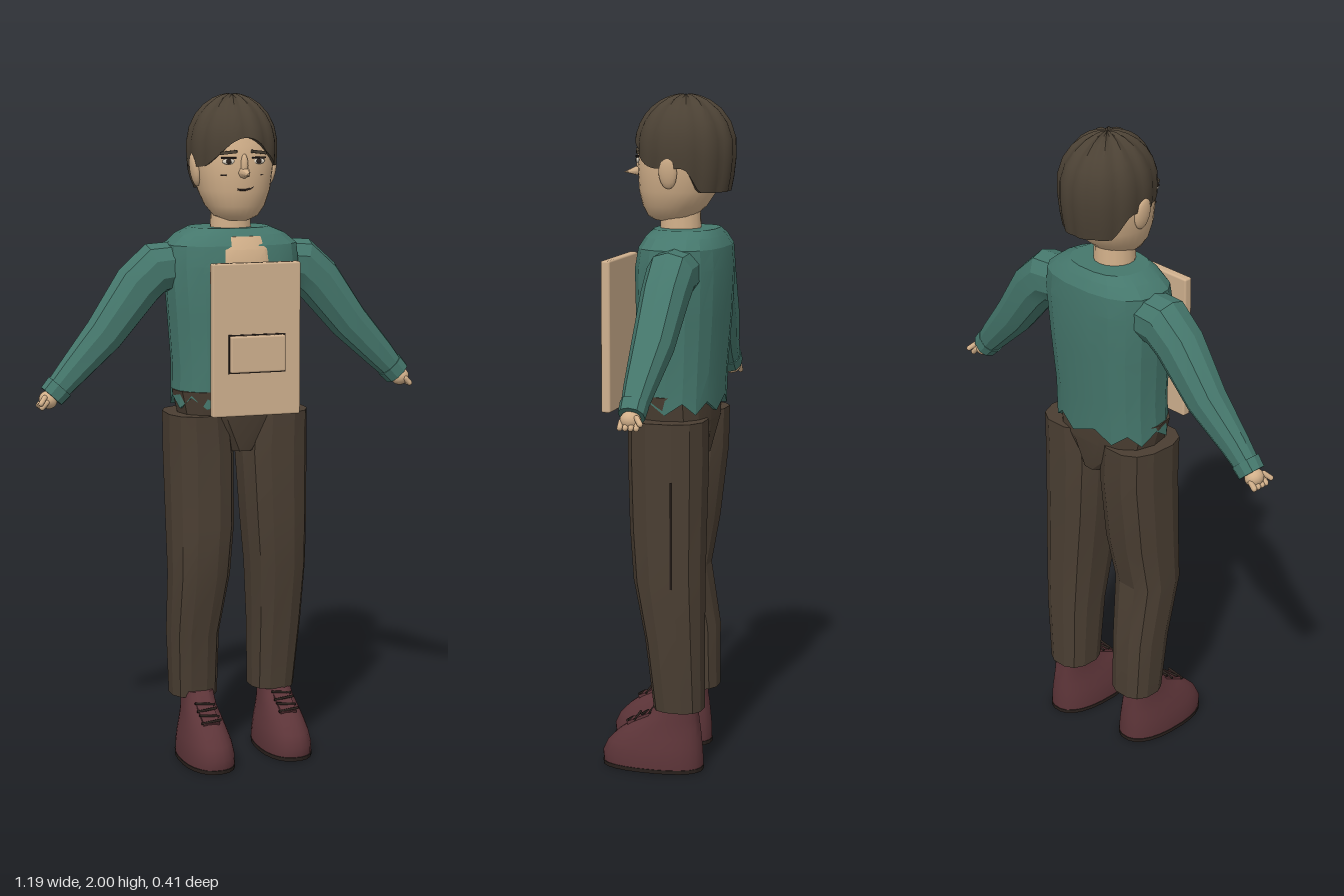
import * as THREE from 'three';
import { toCreasedNormals } from 'three/addons/utils/BufferGeometryUtils.js';
import { RoundedBoxGeometry } from 'three/addons/geometries/RoundedBoxGeometry.js';

const mat = (name, color, side = THREE.FrontSide) =>
  Object.assign(new THREE.MeshStandardMaterial({ color, side }), { name });
const V = (x, y, z) => new THREE.Vector3(x, y, z);

// Skins a stack of closed rings and caps both ends
function loft(rings, crease = 0.3) {
  const n = rings[0].length, pos = [], idx = [], last = rings.length - 1;
  rings.forEach(r => r.forEach(p => pos.push(p.x, p.y, p.z)));
  const centre = r => {
    const c = V(0, 0, 0);
    r.forEach(p => c.add(p));
    c.divideScalar(n);
    pos.push(c.x, c.y, c.z);
    return pos.length / 3 - 1;
  };
  const c0 = centre(rings[0]), c1 = centre(rings[last]);
  for (let j = 0; j < n; j++) {
    const k = (j + 1) % n;
    for (let i = 0; i < last; i++) {
      const a = i * n + j, b = i * n + k;
      idx.push(a, b, b + n, a, b + n, a + n);
    }
    idx.push(c0, k, j, c1, last * n + j, last * n + k);
  }
  const g = new THREE.BufferGeometry();
  g.setAttribute('position', new THREE.Float32BufferAttribute(pos, 3));
  g.setIndex(idx);
  return toCreasedNormals(g, crease);
}

// Section rows are [x, y, z, radius across, radius in z]; power below 1 squares the ring
function body(sections, { n = 14, power = 0.8, follow = false, jag = 0, crease = 0.3 } = {}) {
  const u = V(0, 0, 1);
  const rings = sections.map(([x, y, z, rx, rz], i) => {
    const a = sections[Math.max(i - 1, 0)], b = sections[Math.min(i + 1, sections.length - 1)];
    const t = follow ? V(b[0] - a[0], b[1] - a[1], 0).normalize() : V(0, 1, 0);
    const v = t.clone().cross(u);
    return Array.from({ length: n }, (_, j) => {
      const q = (j + 0.5) / n * Math.PI * 2, c = Math.cos(q), s = Math.sin(q);
      const pw = w => Math.sign(w) * Math.pow(Math.abs(w), power);
      const p = V(x, y, z).addScaledVector(u, pw(c) * rz).addScaledVector(v, pw(s) * rx);
      if (i === 0) p.y += (j % 2 - 0.5) * jag;
      return p;
    });
  });
  return loft(rings, crease);
}

// Bowl of combed locks: the lower edge rises at the fringe and falls at the nape
function hairGeometry() {
  const n = 72, rows = [0, 0, 0.15, 0.35, 0.55, 0.72, 0.85, 0.94, 0.985, 1];
  const S = THREE.MathUtils.smoothstep;
  const rings = rows.map((f, i) => Array.from({ length: n }, (_, j) => {
    const a = j / n * Math.PI * 2, m = Math.min(a, Math.PI * 2 - a);
    const edge = 1.875 - 0.085 * S(m, 0.05, 1.1) - 0.07 * S(m, 1.75, 2.2);
    const y = edge + (2.0 - edge) * f, h = (y - 1.85) / 0.151;
    let r = h > 0 ? Math.sqrt(Math.max(1 - h * h, 0)) : 1 - 0.14 * h * h;
    r *= 0.955 + 0.045 * Math.abs(Math.sin(a * 6));
    if (i === 0) r *= 0.8;
    return V(0.022 + 0.134 * r * Math.sin(a), y - 0.006 * f * Math.abs(Math.cos(a * 6)),
      -0.058 + 0.15 * r * Math.cos(a));
  }));
  return loft(rings, 0.6);
}

export function createModel() {
  const root = new THREE.Group();
  root.name = 'standingMan';
  const skin = mat('skin', 0xd2b08a), shirt = mat('shirt green', 0x45776c);
  const trousers = mat('trouser brown', 0x4a3e32), hair = mat('hair brown', 0x4b4134);
  const shoe = mat('shoe maroon', 0x5c3438), dark = mat('dark lines', 0x2a211d);
  const board = mat('board tan', 0xcfb08e), white = mat('eye white', 0xe6dccb);

  const add = (name, geo, material, x = 0, y = 0, z = 0, parent = root) => {
    const m = new THREE.Mesh(geo, material);
    m.name = name;
    m.position.set(x, y, z);
    parent.add(m);
    return m;
  };
  const ball = (name, material, p, s, parent = root) => {
    const m = add(name, new THREE.SphereGeometry(1, 16, 10), material, ...p, parent);
    m.scale.set(...s);
    return m;
  };

  // Head, neck and hair
  add('head', body([
    [0.02, 1.632, -0.01, 0.035, 0.045], [0.02, 1.645, -0.015, 0.065, 0.07],
    [0.02, 1.675, -0.025, 0.088, 0.095], [0.02, 1.72, -0.035, 0.106, 0.115],
    [0.02, 1.79, -0.04, 0.117, 0.124], [0.02, 1.85, -0.045, 0.117, 0.122],
    [0.02, 1.92, -0.05, 0.09, 0.1]], { n: 28, power: 0.95, crease: 1.2 }), skin);
  add('neck', new THREE.CylinderGeometry(0.058, 0.062, 0.1, 16), skin, 0.012, 1.635, -0.04);
  add('hair', hairGeometry(), hair);
  for (const s of [-1, 1]) {
    const ear = ball('ear', skin, [0.02 + s * 0.118, 1.78, -0.038], [0.014, 0.05, 0.028]);
    ear.rotation.z = -s * 0.15;
  }

  // Face
  const face = new THREE.Group();
  face.name = 'face';
  root.add(face);
  const nose = add('nose', new THREE.ConeGeometry(0.02, 0.062, 8), skin, 0.016, 1.772, 0.105, face);
  nose.rotation.x = Math.PI / 2 + 0.12;
  ball('noseBridge', skin, [0.016, 1.795, 0.083], [0.011, 0.035, 0.012], face);
  for (const s of [-1, 1]) {
    const x = 0.016 + s * 0.046;
    ball('eyeWhite', white, [x, 1.808, 0.075], [0.019, 0.009, 0.005], face);
    ball('iris', dark, [x, 1.808, 0.079], [0.008, 0.008, 0.004], face);
    const lid = add('eyelid', new THREE.BoxGeometry(0.045, 0.005, 0.009), dark, x, 1.818, 0.078, face);
    const brow = add('eyebrow', new THREE.BoxGeometry(0.05, 0.009, 0.009), hair, x, 1.834, 0.077, face);
    lid.rotation.y = brow.rotation.y = s * 0.35;
    brow.rotation.z = -s * 0.12;
    const cheek = add('cheekLine', new THREE.BoxGeometry(0.016, 0.004, 0.006), dark, x + s * 0.012, 1.768, 0.066, face);
    cheek.rotation.y = s * 0.5;
  }
  const smile = new THREE.QuadraticBezierCurve3(V(-0.004, 1.727, 0.079), V(0.025, 1.72, 0.083), V(0.05, 1.736, 0.073));
  add('mouth', new THREE.TubeGeometry(smile, 10, 0.003, 6), dark, 0, 0, 0, face);

  // Shirt with a ragged hem and an open chest
  add('shirtBody', body([
    [0.015, 1.095, -0.047, 0.183, 0.12], [0.016, 1.2, -0.05, 0.181, 0.122],
    [0.017, 1.35, -0.054, 0.192, 0.13], [0.018, 1.5, -0.057, 0.204, 0.134],
    [0.018, 1.56, -0.06, 0.2, 0.126], [0.016, 1.59, -0.06, 0.165, 0.11],
    [0.012, 1.61, -0.06, 0.12, 0.093]], { n: 18, jag: 0.035 }), shirt);
  add('openChest', body([
    [0.025, 1.14, 0, 0.105, 0.078], [0.025, 1.3, 0, 0.108, 0.082], [0.025, 1.5, 0, 0.11, 0.084],
    [0.025, 1.55, 0, 0.105, 0.074], [0.025, 1.587, -0.005, 0.085, 0.06]], { n: 18 }), skin);

  // Arms with cuffs and curled hands, listed from the shoulder to the wrist
  const arms = {
    left: [[0.15, 1.5, -0.08, 0.07, 0.07], [0.245, 1.49, -0.08, 0.078, 0.071], [0.30, 1.44, -0.08, 0.074, 0.068],
      [0.40, 1.31, -0.075, 0.061, 0.06], [0.50, 1.205, -0.068, 0.047, 0.044], [0.555, 1.145, -0.065, 0.036, 0.034]],
    right: [[-0.12, 1.5, -0.065, 0.07, 0.07], [-0.215, 1.49, -0.063, 0.078, 0.072], [-0.27, 1.44, -0.06, 0.074, 0.068],
      [-0.375, 1.30, -0.055, 0.061, 0.056], [-0.475, 1.195, -0.044, 0.046, 0.04], [-0.535, 1.13, -0.04, 0.036, 0.033]],
  };
  for (const [side, rows] of Object.entries(arms)) {
    const s = side === 'left' ? 1 : -1, [wx, wy, wz] = rows.at(-1);
    add(side + 'Sleeve', body(rows, { n: 10, power: 0.9, follow: true }), shirt);
    add(side + 'Cuff', body([[wx - s * 0.022, wy + 0.024, wz, 0.044, 0.04], [wx + s * 0.004, wy - 0.004, wz, 0.041, 0.038]],
      { n: 10, power: 0.9, follow: true }), shirt);
    const hand = new THREE.Group();
    hand.name = side + 'Hand';
    hand.position.set(wx + s * 0.012, wy - 0.012, wz);
    hand.rotation.z = s * 0.75;
    root.add(hand);
    ball('palm', skin, [0, -0.003, 0], [0.028, 0.026, 0.03], hand);
    for (let i = 0; i < 4; i++)
      add('finger', new THREE.CapsuleGeometry(0.0085, 0.02, 4, 8), skin, s * 0.004, -0.022, -0.024 + i * 0.016, hand);
    const thumb = add('thumb', new THREE.CapsuleGeometry(0.008, 0.025, 4, 8), skin, s * 0.018, -0.016, -s * 0.03, hand);
    thumb.rotation.x = s * 0.6;
  }

  // Trousers, listed from the hem upwards
  add('trouserSeat', body([
    [0.03, 0.945, -0.045, 0.05, 0.09], [0.02, 1.05, -0.042, 0.172, 0.112],
    [0.015, 1.13, -0.038, 0.186, 0.115]]), trousers);
  add('rightTrouserLeg', body([
    [-0.103, 0.185, -0.06, 0.072, 0.07], [-0.107, 0.38, -0.048, 0.078, 0.08], [-0.098, 0.57, -0.01, 0.092, 0.09],
    [-0.09, 0.72, -0.025, 0.1, 0.104], [-0.09, 0.94, -0.04, 0.102, 0.115], [-0.097, 1.06, -0.04, 0.096, 0.116]],
    { n: 12 }), trousers);
  add('leftTrouserLeg', body([
    [0.153, 0.185, -0.08, 0.069, 0.075], [0.159, 0.4, -0.068, 0.081, 0.087], [0.156, 0.58, -0.05, 0.09, 0.105],
    [0.148, 0.74, -0.044, 0.098, 0.112], [0.14, 0.94, -0.042, 0.105, 0.117], [0.145, 1.06, -0.042, 0.1, 0.117]],
    { n: 12 }), trousers);
  add('sideSeam', new THREE.BoxGeometry(0.006, 0.32, 0.005), dark, 0.244, 0.73, -0.08);

  // Shoes: [height, toe z, half width, heel z]
  const profile = [[0.012, 0.152, 0.077, -0.155], [0.04, 0.155, 0.077, -0.155], [0.075, 0.138, 0.071, -0.153],
    [0.105, 0.108, 0.063, -0.15], [0.135, 0.068, 0.055, -0.147], [0.16, 0.015, 0.05, -0.143], [0.205, -0.02, 0.045, -0.14]];
  for (const [side, x, z] of [['left', 0.163, 0], ['right', -0.098, 0.048]]) {
    const g = new THREE.Group();
    g.name = side + 'Shoe';
    g.position.set(x, 0, z);
    root.add(g);
    const row = ([y, toe, w, heel]) => [0, y, (toe + heel) / 2, w, (toe - heel) / 2];
    add('upper', body(profile.map(row), { n: 24, power: 0.85, crease: 1 }), shoe, 0, 0, 0, g);
    add('sole', body([row([0, 0.153, 0.078, -0.156]), row([0.012, 0.155, 0.079, -0.157])],
      { n: 24, power: 0.85 }), dark, 0, 0, 0, g);
    const tongue = add('tongue', new THREE.BoxGeometry(0.05, 0.012, 0.1), shoe, 0, 0.152, 0.028, g);
    tongue.rotation.x = 0.45;
    for (let i = 0; i < 4; i++) {
      const lace = add('lace', new THREE.CylinderGeometry(0.004, 0.004, 0.062, 6), dark,
        0, 0.175 - i * 0.012, 0.002 + i * 0.023, g);
      lace.rotation.z = Math.PI / 2 + (i % 2 ? 0.12 : -0.12);
    }
  }

  // Board hanging in front of the chest, with a raised panel and its dark rim
  add('board', new RoundedBoxGeometry(0.27, 0.45, 0.028, 2, 0.006), board, 0.03, 1.295, 0.145);
  add('panelRim', new THREE.BoxGeometry(0.174, 0.114, 0.004), dark, 0.03, 1.255, 0.16);
  add('boardPanel', new RoundedBoxGeometry(0.168, 0.108, 0.022, 2, 0.006), board, 0.03, 1.255, 0.166);
  return root;
}
